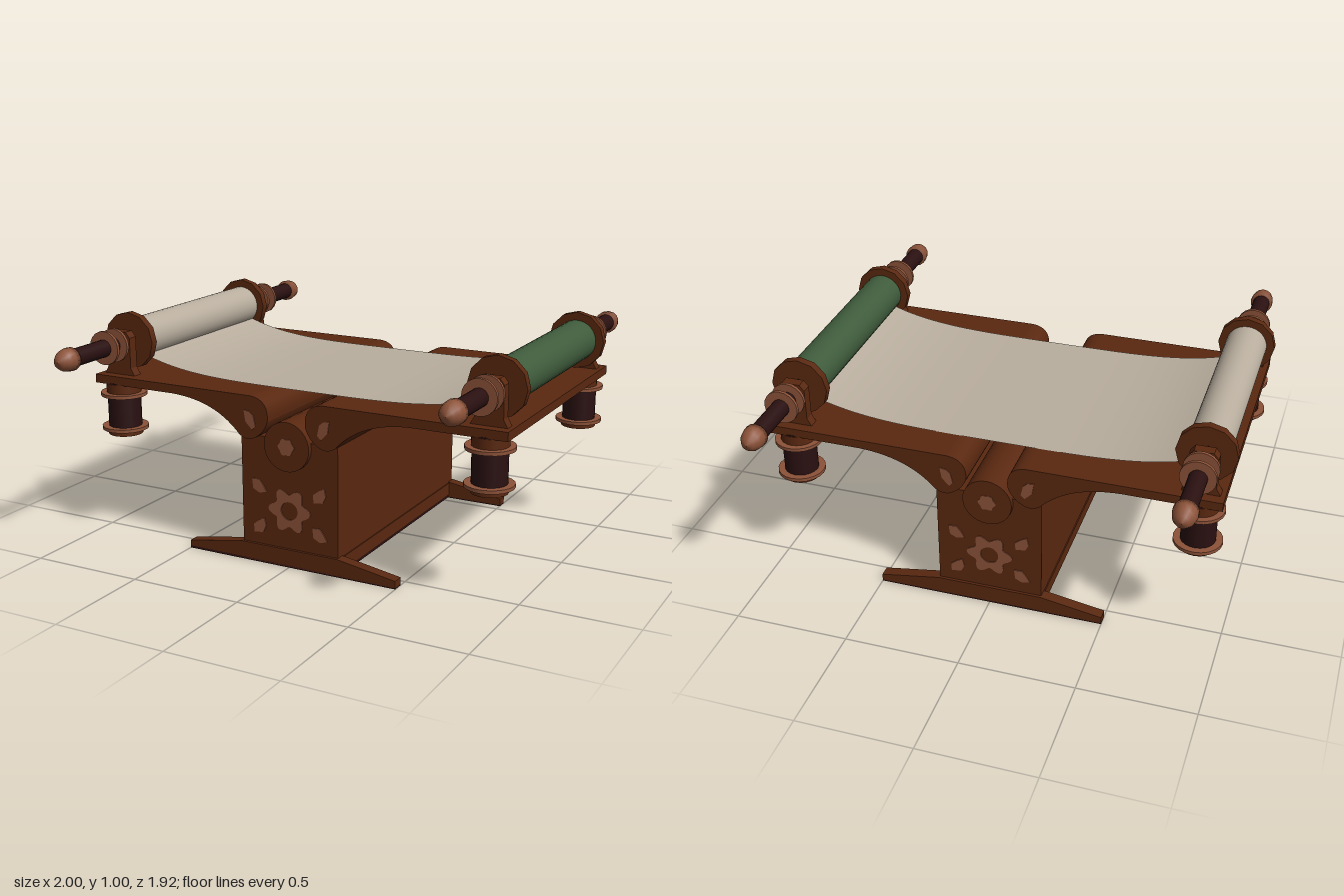
import * as THREE from 'three';

const mat = (name, color, side = THREE.FrontSide) => {
  const m = new THREE.MeshStandardMaterial({ color, side });
  m.name = name;
  return m;
};

export function createModel() {
  const wood = mat('reddish wood', 0x5a2810);
  const dark = mat('dark wood', 0x2a1011);
  const copper = mat('copper trim', 0x8c5238);
  const paper = mat('paper', 0xb9ae9e, THREE.DoubleSide);
  const green = mat('green cloth', 0x3f5c3c);

  const root = new THREE.Group();
  const add = (parent, name, geo, material, x = 0, y = 0, z = 0) => {
    const mesh = new THREE.Mesh(geo, material);
    mesh.name = name;
    mesh.position.set(x, y, z);
    parent.add(mesh);
    return mesh;
  };
  const box = (w, h, d) => new THREE.BoxGeometry(w, h, d);
  const drum = (r, h, n = 20) => new THREE.CylinderGeometry(r, r, h, n);
  const rod = (r, length, n = 20) => drum(r, length, n).rotateX(Math.PI / 2);
  const extrude = (shape, depth) => new THREE.ExtrudeGeometry(shape, { depth, bevelEnabled: false, curveSegments: 14 })
    .translate(0, 0, -depth / 2);
  const polygon = (points) => new THREE.Shape(points.map(([x, y]) => new THREE.Vector2(x, y)));

  // Pedestal with a low plinth
  add(root, 'pedestal', box(0.46, 0.55, 1.16), wood, 0, 0.285, 0);
  add(root, 'plinth', box(0.47, 0.06, 1.17), wood, 0, 0.045, 0);
  add(root, 'plinthBase', box(0.46, 0.015, 1.14), dark, 0, 0.008, 0);

  // Tapered feet at both ends
  const footShape = polygon([[-0.5, 0.005], [0.5, 0.005], [0.5, 0.035], [0.23, 0.08], [-0.23, 0.08], [-0.5, 0.035]]);
  for (const s of [1, -1]) {
    add(root, 'foot', extrude(footShape, 0.05), wood, 0, 0, s * 0.567);
    add(root, 'footSole', box(1, 0.01, 0.05), dark, 0, 0.005, s * 0.567);
  }

  // Central hinge roll
  add(root, 'hingeRoll', rod(0.107, 1.204, 32), wood, 0, 0.535, 0);

  // Table wings, curved below and scrolled at the inner end
  const wingShape = (s) => {
    const w = new THREE.Shape();
    w.moveTo(s * 0.97, 0.733);
    w.lineTo(s * 0.97, 0.695);
    w.lineTo(s * 0.56, 0.695);
    w.bezierCurveTo(s * 0.42, 0.69, s * 0.31, 0.65, s * 0.228, 0.56);
    w.quadraticCurveTo(s * 0.2, 0.54, s * 0.17, 0.546);
    w.quadraticCurveTo(s * 0.11, 0.57, s * 0.09, 0.63);
    w.quadraticCurveTo(s * 0.08, 0.725, s * 0.17, 0.733);
    w.closePath();
    return w;
  };
  for (const s of [1, -1]) add(root, 'wing', extrude(wingShape(s), 1.2), wood);

  // Carved ornaments on both ends
  const lobed = (r, wave, lobes, hole) => {
    const pts = [];
    for (let i = 0; i < 48; i++) {
      const a = (i / 48) * Math.PI * 2;
      const k = r + wave * Math.cos(lobes * a);
      pts.push([k * Math.cos(a), k * Math.sin(a)]);
    }
    const shape = polygon(pts);
    if (hole) shape.holes.push(new THREE.Path().absarc(0, 0, hole, 0, Math.PI * 2, true));
    return shape;
  };
  const leaf = polygon([[-0.035, 0.028], [-0.03, -0.015], [0, -0.03], [0.035, -0.022], [0.02, 0.005], [0, 0.03]]);
  const lozenge = polygon([[-0.028, 0.04], [-0.02, -0.01], [0.012, -0.042], [0.028, -0.025], [0.018, 0.02], [0, 0.035]]);
  for (const turn of [0, Math.PI]) {
    const end = new THREE.Group();
    end.name = 'endOrnaments';
    end.rotation.y = turn;
    root.add(end);
    add(end, 'flower', extrude(lobed(0.086, 0.016, 6, 0.04), 0.006), copper, 0, 0.25, 0.581);
    add(end, 'hingeRosette', extrude(lobed(0.036, 0.003, 6, 0), 0.006), copper, 0, 0.535, 0.602);
    for (const s of [1, -1]) {
      for (const [y, up] of [[0.34, 1], [0.165, -1]]) {
        const l = add(end, 'leaf', extrude(leaf, 0.006), copper, s * 0.145, y, 0.581);
        l.rotation.z = s * up > 0 ? Math.PI / 2 : 0;
      }
      const d = add(end, 'wingLozenge', extrude(lozenge, 0.006), copper, s * 0.175, 0.63, 0.6);
      if (s > 0) d.rotation.y = Math.PI;
    }
  }

  // Rollers, one of paper and one of cloth
  const axisX = 0.872, axisY = 0.87;
  add(root, 'paperRoller', rod(0.09, 0.9, 32), paper, -axisX, axisY, 0);
  add(root, 'clothRoller', rod(0.09, 0.9, 32), green, axisX, axisY, 0);

  // Sheet sagging between the rollers
  const sheet = new THREE.PlaneGeometry(1.66, 0.89, 40, 1).rotateX(-Math.PI / 2);
  const pos = sheet.attributes.position;
  for (let i = 0; i < pos.count; i++) pos.setY(i, 0.737 + 0.075 * Math.pow(pos.getX(i) / 0.83, 4));
  sheet.computeVertexNormals();
  add(root, 'sheet', sheet, paper);

  // Handle, bracket and hanging drum at each corner
  const finialProfile = [[0, 0], [0.05, 0], [0.05, 0.025], [0.044, 0.055], [0.028, 0.08], [0, 0.09]]
    .map(([x, y]) => new THREE.Vector2(x, y));
  const bracketShape = polygon([[-0.08, 0], [0.08, 0], [0.06, 0.035], [0.06, 0.17], [0.04, 0.195],
    [-0.04, 0.195], [-0.06, 0.17], [-0.06, 0.035]]);
  for (const sx of [1, -1]) for (const sz of [1, -1]) {
    const corner = new THREE.Group();
    corner.name = 'corner';
    corner.position.x = sx * axisX;
    root.add(corner);
    add(corner, 'rollerFlange', rod(0.126, 0.035, 12), wood, 0, axisY, sz * 0.463);
    add(corner, 'handle', rod(0.038, 0.42), dark, 0, axisY, sz * 0.675);
    for (const z of [0.585, 0.65]) add(corner, 'handleRing', rod(0.074, 0.014), copper, 0, axisY, sz * z);
    const finial = add(corner, 'finial', new THREE.LatheGeometry(finialProfile, 14), copper, 0, axisY, sz * 0.872);
    finial.rotation.x = sz * Math.PI / 2;
    add(corner, 'bracket', extrude(bracketShape, 0.045), wood, 0, 0.73, sz * 0.532);

    add(corner, 'drum', drum(0.073, 0.22), dark, 0, 0.59, sz * 0.53);
    add(corner, 'drumCap', drum(0.076, 0.045), wood, 0, 0.672, sz * 0.53);
    add(corner, 'drumBase', drum(0.076, 0.025), wood, 0, 0.474, sz * 0.53);
    for (const y of [0.645, 0.492]) add(corner, 'drumRing', drum(0.102, 0.015), copper, 0, y, sz * 0.53);
  }
  return root;
}
